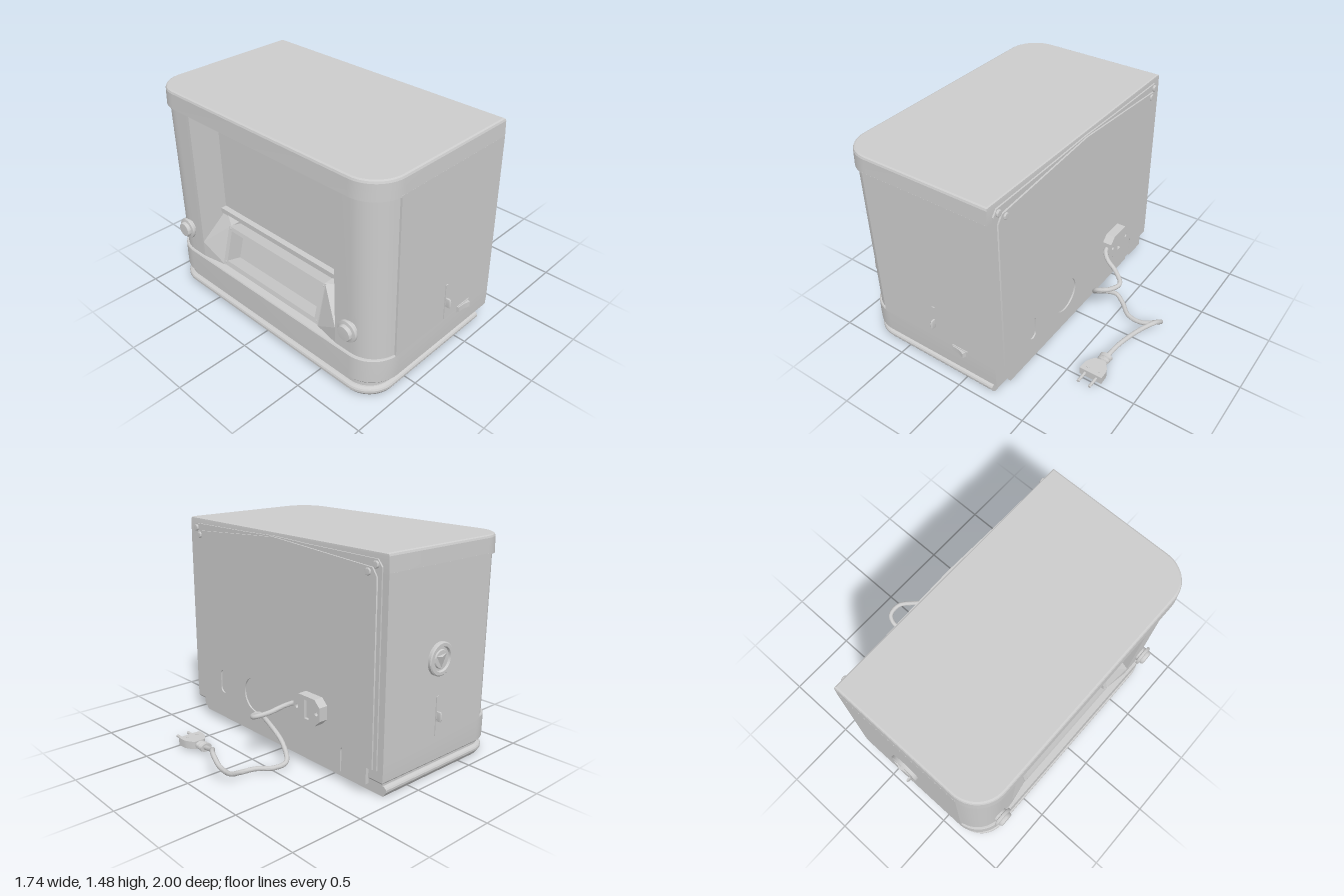
import * as THREE from 'three';
import { toCreasedNormals } from 'three/addons/utils/BufferGeometryUtils.js';

const material = new THREE.MeshStandardMaterial({ color: 0xcccccc, side: THREE.DoubleSide });

function add(parent, name, geometry, x = 0, y = 0, z = 0, crease = 0.6) {
  const m = new THREE.Mesh(toCreasedNormals(geometry, crease), material);
  m.name = name;
  m.position.set(x, y, z);
  parent.add(m);
  return m;
}

const box = (w, h, d) => new THREE.BoxGeometry(w, h, d);
const vectors = pts => pts.map(p => new THREE.Vector2(...p));
const shapeOf = pts => new THREE.Shape(vectors(pts));
const extrude = (shape, depth) =>
  new THREE.ExtrudeGeometry(shape, { depth, bevelEnabled: false, curveSegments: 24 });
// Extrusion of a (-z, y) shape towards +x
const extrudeX = (shape, depth) => extrude(shape, depth).rotateY(Math.PI / 2);
const lathe = (pts, seg = 40) => new THREE.LatheGeometry(vectors(pts), seg);
const rectPath = (w, h) => new THREE.Path(vectors([[-w, -h], [-w, h], [w, h], [w, -h]]));

function indexed(pos, idx) {
  const g = new THREE.BufferGeometry();
  g.setAttribute('position', new THREE.Float32BufferAttribute(pos, 3));
  g.setIndex(idx);
  return g;
}

// Plan outline as [x, z]: square back corners, rounded front corners
function plan(front, back, half, r) {
  const pts = [[back, -half]];
  for (const s of [-1, 1]) {
    for (let i = 0; i <= 12; i++) {
      const t = (s < 0 ? i : 12 - i) / 12 * Math.PI / 2;
      pts.push([front + r - r * Math.sin(t), s * (half - r + r * Math.cos(t))]);
    }
  }
  pts.push([back, half]);
  return pts;
}

// Solid from plan outlines at rising heights; rings are [y, front, half width, back]
function addStack(parent, name, rings) {
  const pos = [], idx = [];
  const n = 28;
  for (const [y, front, half, back] of rings)
    for (const [x, z] of plan(front, back, half, half - 0.746)) pos.push(x, y, z);
  const top = (rings.length - 1) * n;
  for (let k = 0; k < top; k += n)
    for (let i = 0; i < n; i++) {
      const a = k + i, b = k + (i + 1) % n;
      idx.push(a, b, b + n, a, b + n, a + n);
    }
  for (let i = 1; i < n - 1; i++) idx.push(0, i + 1, i, top, top + i, top + i + 1);
  add(parent, name, indexed(pos, idx), 0, 0, 0, 0.25);
}

function buildCabinet(g) {
  addStack(g, 'plinth', [[0, -0.802, 0.912, 0.222], [0.01, -0.812, 0.922, 0.222], [0.035, -0.83, 0.937, 0.222],
    [0.05, -0.83, 0.938, 0.222], [0.06, -0.825, 0.932, 0.222], [0.07, -0.81, 0.915, 0.222]]);
  addStack(g, 'plinthNeck', [[0.06, -0.8, 0.91, 0.222], [0.115, -0.8, 0.91, 0.222]]);
  addStack(g, 'lowerBand', [[0.11, -0.813, 0.943, 0.267], [0.122, -0.822, 0.953, 0.275],
    [0.2, -0.822, 0.957, 0.275], [0.283, -0.82, 0.957, 0.275], [0.29, -0.815, 0.953, 0.275]]);
  addStack(g, 'upperBand', [[1.36, -0.824, 0.957, 0.275], [1.463, -0.82, 0.953, 0.275],
    [1.475, -0.815, 0.948, 0.273], [1.48, -0.804, 0.938, 0.265]]);

  // Middle of the cabinet: sides, slightly sunk corner pillars and the front recess
  const corner = plan(-0.802, 0.275, 0.947, 0.2).filter(([x, z]) => x < -0.645 && z < 0);
  const pts = [[0.275, -0.957], [-0.64, -0.957], [-0.64, -0.944], ...corner, [-0.802, -0.625], [-0.59, -0.625]];
  const full = [...pts, ...pts.slice().reverse().map(([x, z]) => [x, -z])];
  add(g, 'cabinetBody', extrude(shapeOf(full), 1.09).rotateX(-Math.PI / 2), 0, 0.28, 0);
}

function buildFront(g) {
  // Splayed cheeks joining the recess walls to the dial frame
  for (const s of [-1, 1])
    add(g, 'dialCheek', indexed([
      -0.59, 0.57, s * 0.625, -0.802, 0.405, s * 0.625, -0.802, 0.285, s * 0.625,
      -0.77, 0.285, s * 0.44, -0.695, 0.57, s * 0.44, -0.59, 0.57, s * 0.44,
    ], s > 0 ? [0, 4, 5, 0, 1, 4, 1, 3, 4, 1, 2, 3] : [0, 5, 4, 0, 4, 1, 1, 4, 3, 1, 3, 2]), 0, 0, 0, 0.2);
  add(g, 'ledge', box(0.05, 0.035, 1.25), -0.605, 0.583, 0);

  // Tilted dial frame with a deep tray
  const dial = new THREE.Group();
  dial.name = 'dial';
  dial.position.set(-0.74, 0.44, 0);
  dial.rotation.order = 'YXZ';
  dial.rotation.set(-0.27, -Math.PI / 2, 0);
  const frame = shapeOf([[-0.45, -0.14], [0.45, -0.14], [0.45, 0.135], [-0.45, 0.135]]);
  frame.holes.push(rectPath(0.418, 0.108));
  add(dial, 'dialFrame', extrude(frame, 0.12), 0, 0, -0.12);
  add(dial, 'dialBack', box(0.87, 0.24, 0.01), 0, 0, -0.114);
  for (const sx of [-1, 1]) for (const sy of [-1, 1])
    add(dial, 'dialScrew', new THREE.CylinderGeometry(0.009, 0.009, 0.01, 12).rotateX(Math.PI / 2),
      sx * 0.434, sy * 0.12, 0);
  g.add(dial);

  // Stepped front knobs
  for (const s of [-1, 1])
    add(g, 'frontKnob', lathe([[0.052, 0], [0.052, 0.016], [0.07, 0.02], [0.072, 0.028], [0.07, 0.038],
      [0.052, 0.042], [0.052, 0.054], [0.046, 0.064], [0, 0.066]]).rotateZ(Math.PI / 2), -0.8, 0.475, s * 0.75);
}

function buildSides(g) {
  // Round selector with a wedge grip on the -z side
  add(g, 'selectorDisc', lathe([[0.107, 0], [0.107, 0.02], [0.1, 0.026], [0.08, 0.026], [0.074, 0.012],
    [0.06, 0.012], [0.055, 0.02], [0, 0.022]]).rotateX(-Math.PI / 2), -0.19, 0.79, -0.955);
  // Grip: triangular outline with a raised ridge running to its tip
  add(g, 'selectorGrip', indexed([0.05, 0.025, 0, -0.045, 0.03, 0, 0, -0.052, 0, 0.02, 0.024, -0.022],
    [0, 3, 1, 1, 3, 2, 2, 3, 0]), -0.19, 0.79, -0.976, 0.2);

  // Slider levers on both sides
  for (const s of [-1, 1]) {
    add(g, 'leverSlot', box(0.02, 0.26, 0.012), -0.19, 0.42, s * 0.957);
    add(g, 'lever', lathe([[0, -0.033], [0.013, -0.031], [0.016, -0.02], [0.016, 0.02], [0.013, 0.031], [0, 0.033]], 16)
      .scale(0.5, 1, 1.5), -0.19, 0.42, s * 0.976);
  }

  // Rocker switch on the +z side
  add(g, 'switchPlate', box(0.12, 0.048, 0.012), 0, 0.278, 0.957);
  add(g, 'switchRocker', extrude(shapeOf([[-0.055, 0], [0.05, 0], [0.04, 0.027], [0, 0.014], [-0.055, 0.01]]), 0.038)
    .translate(0, 0, -0.019).rotateX(Math.PI / 2), 0, 0.278, 0.958);
}

// Back plate outline: stepped foot, side edge at w, chamfered top corners; u = -z
function platePoints(w, upper) {
  const right = [[0.84, 0.08], [0.84, 0.19], [w, 0.19], ...upper];
  return [...right, ...right.slice().reverse().map(([u, y]) => [-u, y])];
}

function buildBack(g) {
  const outer = platePoints(0.912, [[0.912, 1.4], [0.88, 1.44], [0.3, 1.447], [0.01, 1.455]]);
  add(g, 'backPlate', extrudeX(shapeOf(outer), 0.015), 0.27, 0, 0);

  const shape = shapeOf(platePoints(0.885, [[0.885, 1.34], [0.85, 1.392], [0.01, 1.45]]));
  // Cable notch open at the bottom
  shape.lineTo(0.62, 0.08);
  shape.lineTo(0.62, 0.22);
  shape.absarc(0.65, 0.22, 0.03, Math.PI, 0, true);
  shape.lineTo(0.68, 0.08);
  const hole = new THREE.Path();
  hole.absarc(-0.215, 0.335, 0.125, 0, Math.PI * 2, true);
  const slot = new THREE.Path();
  slot.absarc(-0.59, 0.385, 0.034, 0, Math.PI, false);
  slot.absarc(-0.59, 0.28, 0.034, Math.PI, Math.PI * 2, false);
  slot.closePath();
  shape.holes.push(hole, slot);
  add(g, 'backPanel', extrudeX(shape, 0.012), 0.284, 0, 0);

  for (const s of [-1, 1]) for (const [z, y, x] of [[0.87, 1.41, 0.282], [0.82, 1.365, 0.29]])
    add(g, 'backScrew', lathe([[0.022, -0.015], [0.022, 0.012], [0.018, 0.016], [0, 0.017]], 20)
      .rotateZ(-Math.PI / 2), x, y, s * z);

  // Eight-sided mains connector with a slot and two screw holes in its face
  const oct = [[-0.12, -0.045], [-0.075, -0.088], [0.075, -0.088], [0.12, -0.045],
    [0.12, 0.045], [0.075, 0.088], [-0.075, 0.088], [-0.12, 0.045]];
  add(g, 'connectorBody', extrudeX(shapeOf(oct), 0.046), 0.295, 0.432, -0.382);
  const face = shapeOf(oct);
  face.holes.push(rectPath(0.021, 0.062));
  for (const s of [-1, 1]) {
    const screwHole = new THREE.Path();
    screwHole.absarc(s * 0.09, 0, 0.014, 0, Math.PI * 2, true);
    face.holes.push(screwHole);
  }
  add(g, 'connectorFace', extrudeX(face, 0.02), 0.341, 0.432, -0.382);
}

function buildCable(g) {
  const path = [[0.325, 0.432, -0.27], [0.335, 0.428, -0.235], [0.38, 0.405, -0.19], [0.47, 0.37, -0.15],
    [0.54, 0.34, -0.085], [0.5, 0.318, -0.02], [0.42, 0.295, 0.01], [0.37, 0.21, -0.05], [0.37, 0.13, -0.16],
    [0.43, 0.055, -0.265], [0.5, 0.027, -0.235], [0.59, 0.02, -0.155], [0.7, 0.025, -0.137], [0.8, 0.06, -0.16],
    [0.85, 0.115, -0.135], [0.84, 0.168, -0.05], [0.775, 0.14, 0.05], [0.7, 0.07, 0.17], [0.675, 0.038, 0.29]];
  const curve = new THREE.CatmullRomCurve3(path.map(p => new THREE.Vector3(...p)));
  add(g, 'cable', new THREE.TubeGeometry(curve, 160, 0.016, 12));

  // Two-pin plug lying on the ground
  const plug = new THREE.Group();
  plug.name = 'plug';
  plug.position.set(0.672, 0.038, 0.28);
  add(plug, 'strainRelief', lathe([[0, 0], [0.044, 0], [0.044, 0.02], [0.034, 0.025], [0.041, 0.032], [0.041, 0.05],
    [0.031, 0.055], [0.037, 0.062], [0.037, 0.085]], 20).scale(1, 1, 0.65).rotateX(Math.PI / 2));
  const half = [[0.038, 0.075], [0.05, 0.088], [0.073, 0.125], [0.08, 0.145], [0.082, 0.207]];
  add(plug, 'plugBody', extrude(shapeOf([...half, ...half.slice().reverse().map(([x, z]) => [-x, z])]), 0.054)
    .translate(0, 0, -0.027).rotateX(Math.PI / 2));
  for (const s of [-1, 1]) {
    add(plug, 'plugPin', new THREE.CylinderGeometry(0.01, 0.01, 0.09, 12).rotateX(Math.PI / 2), s * 0.042, 0, 0.245);
    add(plug, 'plugScrew', new THREE.CylinderGeometry(0.01, 0.01, 0.006, 12), s * 0.04, 0.027, 0.17);
  }
  g.add(plug);
}

export function createModel() {
  const g = new THREE.Group();
  g.name = 'tabletopRadio';
  buildCabinet(g);
  buildFront(g);
  buildSides(g);
  buildBack(g);
  buildCable(g);
  return g;
}
